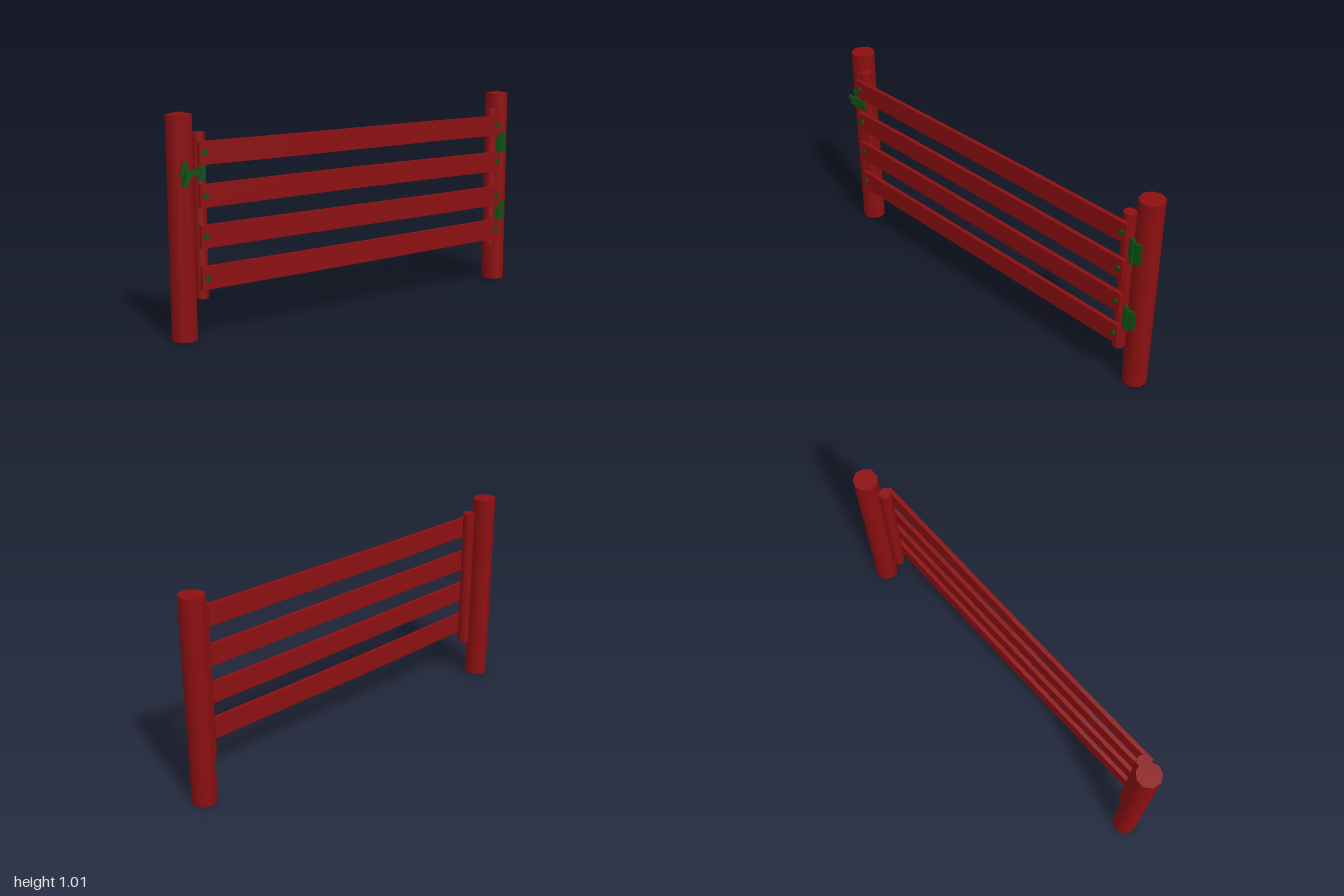
import * as THREE from 'three';

export function createModel() {
  const root = new THREE.Group();
  const wood = new THREE.MeshStandardMaterial({ color: 0x8c0f11 });
  wood.name = 'red wood';
  const iron = new THREE.MeshStandardMaterial({ color: 0x0d4f14 });
  iron.name = 'green iron';

  function add(name, geo, mat, x, y, z, parent = root) {
    const m = new THREE.Mesh(geo, mat);
    m.name = name;
    m.position.set(x, y, z);
    parent.add(m);
    return m;
  }
  const box = (name, mat, x0, x1, y0, y1, z0, z1, parent) =>
    add(name, new THREE.BoxGeometry(x1 - x0, y1 - y0, z1 - z0), mat,
      (x0 + x1) / 2, (y0 + y1) / 2, (z0 + z1) / 2, parent);

  // Round timber with a slightly crowned top
  function timber(r, h, sides, crown) {
    const g = new THREE.CylinderGeometry(r, r, h, sides);
    const p = g.attributes.position;
    for (let i = 0; i < p.count; i++) {
      if (Math.hypot(p.getX(i), p.getZ(i)) < 1e-5 && p.getY(i) > 0) p.setY(i, h / 2 + crown);
    }
    return g.translate(0, h / 2, 0);
  }

  // Outer posts and gate stiles
  for (const [side, postX, stileX] of [['right', -0.943, -0.875], ['left', 0.942, 0.865]]) {
    const post = add(side + 'Post', timber(0.059, 1.002, 9, 0.012), wood, postX, 0, -0.017);
    post.rotation.y = side === 'left' ? 0.35 : 0;
    const stile = add(side + 'Stile', timber(0.03, 0.735, 8, 0.004), wood, stileX, 0.19, 0.026);
    stile.rotation.y = Math.PI / 8;
  }

  // Four rails, each lightly bowed along its length, with a bolt at each end
  [[0.84, 0.102], [0.652, 0.102], [0.47, 0.102], [0.287, 0.104]].forEach(([y, h], n) => {
    const g = new THREE.BoxGeometry(1.785, h, 0.02, 4, 1, 1);
    const p = g.attributes.position;
    for (let i = 0; i < p.count; i++) {
      const wave = Math.sin(p.getX(i) * 2.5 + n * 1.7);
      p.setY(i, p.getY(i) + wave * 0.002);
      p.setZ(i, p.getZ(i) - 0.003 * Math.cos(p.getX(i) * 1.7));
    }
    add('rail' + (n + 1), g, wood, -0.005, y, 0.065);
    for (const x of [-0.873, 0.865]) {
      const bolt = add('bolt', new THREE.CylinderGeometry(0.014, 0.014, 0.014, 8), iron, x, y + 0.002, 0.073);
      bolt.rotation.x = Math.PI / 2;
    }
  });

  // Hinges: a leaf on the post, a leaf on the stile and a pin between
  for (const y of [0.75, 0.383]) {
    const hinge = new THREE.Group();
    hinge.name = 'hinge';
    hinge.position.set(0.91, y, 0.043);
    const postLeaf = box('postLeaf', iron, 0, 0.045, -0.055, 0.05, -0.006, 0.006, hinge);
    postLeaf.rotation.y = 0.15;
    box('stileLeaf', iron, -0.022, 0, -0.055, 0.055, -0.014, 0.002, hinge);
    add('pin', new THREE.CylinderGeometry(0.009, 0.009, 0.13, 8), iron, 0, 0, 0.004, hinge);
    root.add(hinge);
  }

  // Latch: sliding bar, keeper on the post and bracket on the stile
  const latch = new THREE.Group();
  latch.name = 'latch';
  root.add(latch);
  box('bar', iron, -0.985, -0.865, 0.742, 0.767, 0.054, 0.064, latch);
  box('keeperPlate', iron, -0.965, -0.938, 0.695, 0.802, 0.036, 0.047, latch);
  box('keeperHook', iron, -0.963, -0.94, 0.727, 0.742, 0.04, 0.071, latch);
  box('keeperLip', iron, -0.963, -0.94, 0.727, 0.772, 0.064, 0.071, latch);
  box('stileBracket', iron, -0.897, -0.865, 0.715, 0.787, 0.05, 0.06, latch);
  box('knob', iron, -0.888, -0.874, 0.745, 0.765, 0.06, 0.07, latch);

  return root;
}
